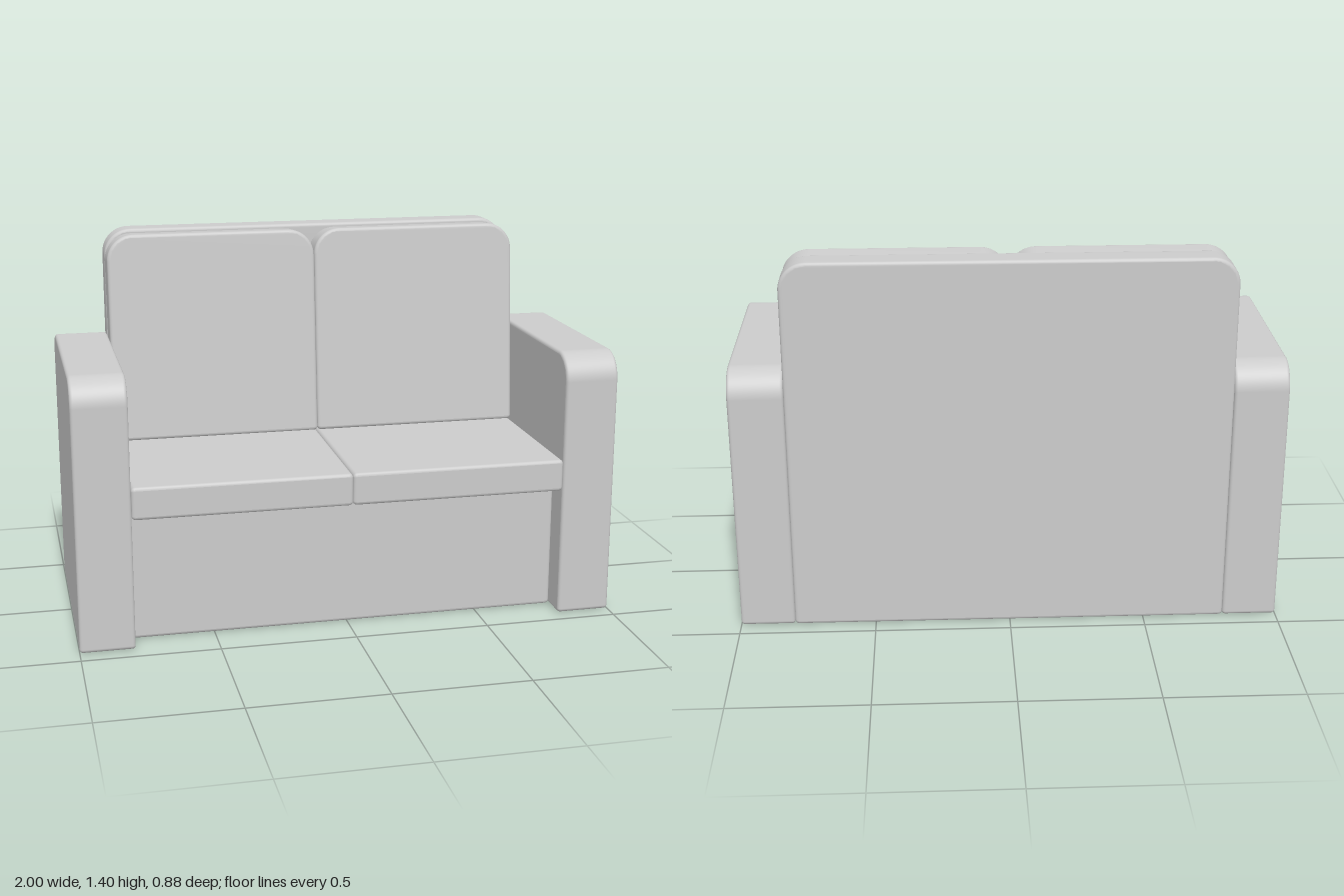
import * as THREE from 'three';
import { mergeVertices } from 'three/addons/utils/BufferGeometryUtils.js';

const BEVEL = 0.012;
const SMALL = 0.015;
const material = new THREE.MeshStandardMaterial({ color: 0xcccccc });

// Upholstered slab centred on the origin: w x h outline in XY, top corners of radius r, soft edges all round.
function slab(name, w, h, depth, r = SMALL) {
  const x = w / 2, y = h / 2, s = SMALL;
  const shape = new THREE.Shape();
  shape.moveTo(-x + s, -y);
  shape.lineTo(x - s, -y);
  shape.absarc(x - s, -y + s, s, -Math.PI / 2, 0);
  shape.lineTo(x, y - r);
  shape.absarc(x - r, y - r, r, 0, Math.PI / 2);
  shape.lineTo(-x + r, y);
  shape.absarc(-x + r, y - r, r, Math.PI / 2, Math.PI);
  shape.lineTo(-x, -y + s);
  shape.absarc(-x + s, -y + s, s, Math.PI, Math.PI * 1.5);

  let geometry = new THREE.ExtrudeGeometry(shape, {
    depth: depth - 2 * BEVEL,
    bevelThickness: BEVEL,
    bevelSize: BEVEL,
    bevelOffset: -BEVEL,
    bevelSegments: 4,
    curveSegments: 8,
  });
  geometry.translate(0, 0, -depth / 2 + BEVEL);

  // Weld, so the rounded edges shade smoothly into the flat faces
  geometry.deleteAttribute('normal');
  geometry.deleteAttribute('uv');
  geometry = mergeVertices(geometry, 1e-5);
  geometry.computeVertexNormals();

  const mesh = new THREE.Mesh(geometry, material);
  mesh.name = name;
  return mesh;
}

export function createModel() {
  const sofa = new THREE.Group();
  sofa.name = 'sofa';

  function add(mesh, x, y, z) {
    mesh.position.set(x, y, z);
    sofa.add(mesh);
    return mesh;
  }

  // Base, set back below the seat cushions
  add(slab('base', 1.6, 0.485, 0.68), 0, 0.2425, 0);

  // Back panel, down to the floor
  add(slab('backPanel', 1.6, 1.4, 0.1, 0.1), 0, 0.7, -0.39);

  for (const [side, sign] of [['left', 1], ['right', -1]]) {
    // Arm, its outline turned to run front to back
    const arm = add(slab(side + 'Arm', 0.88, 1, 0.2, 0.1), sign * 0.9, 0.5, 0);
    arm.rotation.y = Math.PI / 2;

    // Seat cushion
    add(slab(side + 'SeatCushion', 0.8, 0.12, 0.78), sign * 0.4, 0.545, 0.05);

    // Back cushion, leaning against the back panel
    const cushion = add(slab(side + 'BackCushion', 0.8, 0.79, 0.115, 0.1), sign * 0.4, 0.995, -0.256);
    cushion.rotation.x = -THREE.MathUtils.degToRad(5);
  }

  return sofa;
}
